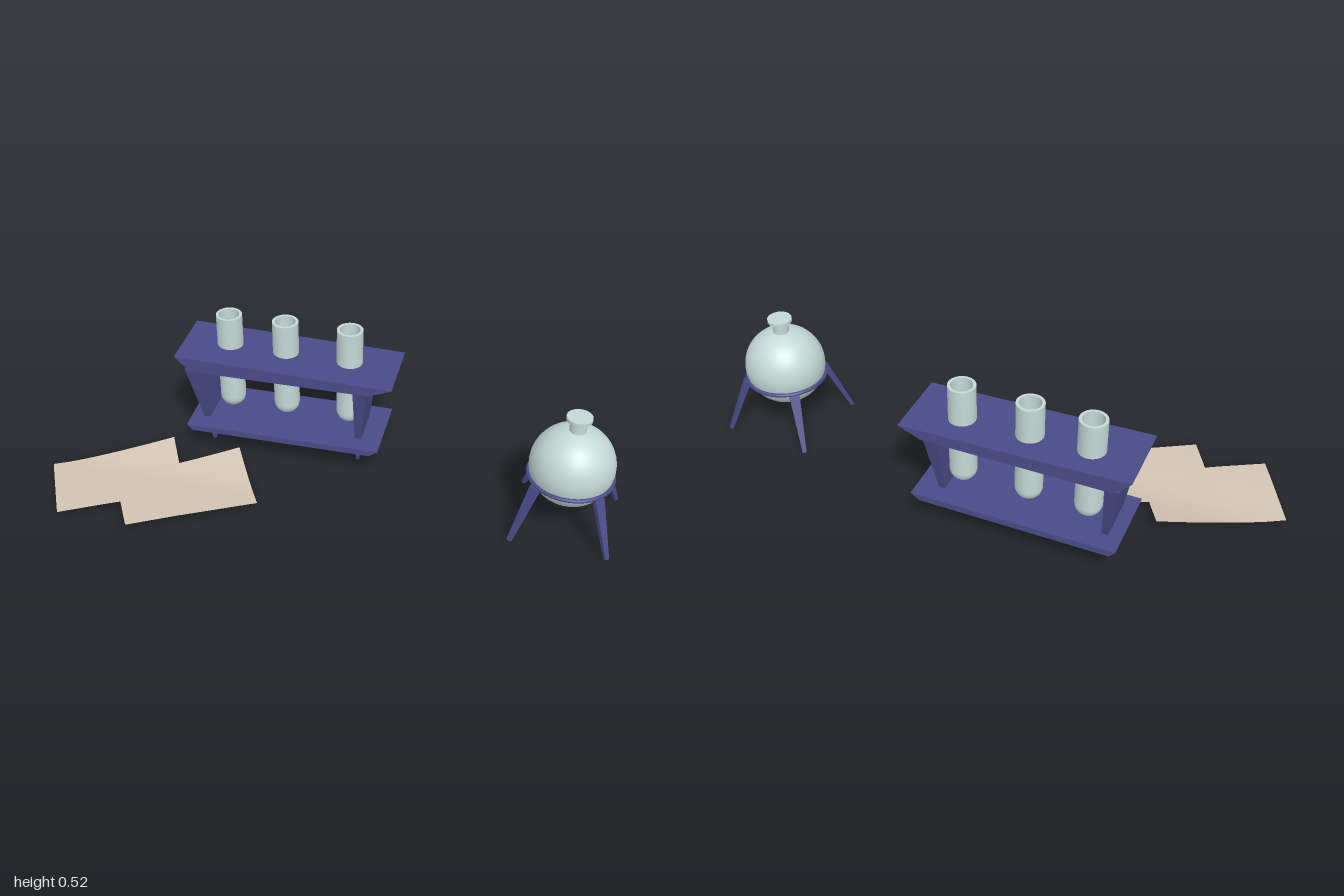
import * as THREE from 'three';

const blue = new THREE.MeshStandardMaterial({ color: 0x4a4a88 });
const glass = new THREE.MeshStandardMaterial({ color: 0xc4d8d6 });
const paper = new THREE.MeshStandardMaterial({ color: 0xd2c4b4, side: THREE.DoubleSide });

function add(parent, name, geometry, material) {
  const mesh = new THREE.Mesh(geometry, material);
  mesh.name = name;
  parent.add(mesh);
  return mesh;
}

// Box whose eight corners are placed by rule(right, top, front)
function shapedBox(rule) {
  const g = new THREE.BoxGeometry(1, 1, 1);
  const p = g.attributes.position;
  for (let i = 0; i < p.count; i++) {
    p.setXYZ(i, ...rule(p.getX(i) > 0, p.getY(i) > 0, p.getZ(i) > 0));
  }
  g.computeVertexNormals();
  return g;
}

function lathe(points, segments = 40) {
  return new THREE.LatheGeometry(points.map(([r, y]) => new THREE.Vector2(r, y)), segments);
}

// Lathe made of separate profile pieces keeps the edges between them sharp
function addLathes(parent, name, pieces, material) {
  const group = new THREE.Group();
  group.name = name;
  pieces.forEach((piece, i) => add(group, name + 'Surface' + (i + 1), lathe(piece), material));
  parent.add(group);
  return group;
}

// Arc profile running upward from angle a to angle b (degrees, -90 is the bottom)
function arc(radius, centreY, a, b, steps) {
  return Array.from({ length: steps + 1 }, (_, i) => {
    const t = THREE.MathUtils.degToRad(a + (b - a) * i / steps);
    return [Math.max(0, radius * Math.cos(t)), centreY + radius * Math.sin(t)];
  });
}

function buildRack() {
  const rack = new THREE.Group();
  rack.name = 'testTubeRack';

  // Upper plate: slightly sloping top, undercut ends
  add(rack, 'upperPlate', shapedBox((r, t, f) => [
    t ? (r ? 0.19 : -0.585) : (r ? 0.11 : -0.53),
    t ? (r ? 0.382 : 0.402) : 0.348,
    f ? -0.11 : -0.36]), blue);

  // Lower shelf with undercut ends
  add(rack, 'lowerShelf', shapedBox((r, t, f) => [
    t ? (r ? 0.15 : -0.555) : (r ? 0.12 : -0.535),
    t ? 0.122 : 0.1,
    f ? -0.1 : -0.372]), blue);

  // Wedge-shaped end supports
  const ends = {
    rightSupport: { top: [-0.548, -0.503], foot: [-0.489, -0.479] },
    leftSupport: { top: [0.055, 0.102], foot: [0.055, 0.066] },
  };
  for (const [name, e] of Object.entries(ends)) {
    add(rack, name, shapedBox((r, t, f) => [
      (t ? e.top : e.foot)[r ? 1 : 0],
      t ? 0.355 : 0.007,
      -0.235 + (f ? 1 : -1) * (t ? 0.125 : 0.045)]), blue);
  }

  // Round-bottomed open tubes
  for (const x of [-0.421, -0.217, 0.014]) {
    const tube = addLathes(rack, 'testTube', [
      [...arc(0.046, 0.186, -90, 0, 10), [0.046, 0.517]],
      [[0.046, 0.517], [0.036, 0.517]],
      [[0.036, 0.517], [0.036, 0.37]],
    ], glass);
    tube.position.set(x, 0, -0.249);
  }
  return rack;
}

function buildFlask() {
  const flask = new THREE.Group();
  flask.name = 'flaskOnStand';
  flask.position.set(0.815, 0, -0.042);

  const bulb = add(flask, 'bulb', new THREE.SphereGeometry(0.142, 48, 32), glass);
  bulb.position.y = 0.242;
  addLathes(flask, 'neck', [[[0.028, 0.375], [0.028, 0.422]]], glass);
  addLathes(flask, 'lip', [
    [[0.028, 0.422], [0.0425, 0.422]],
    [[0.0425, 0.422], [0.0425, 0.434]],
    [[0.0425, 0.434], [0, 0.434]],
  ], glass);

  const ring = add(flask, 'standRing', new THREE.TorusGeometry(0.141, 0.007, 10, 48), blue);
  ring.rotation.x = Math.PI / 2;
  ring.position.y = 0.2;

  // Splayed, tapering legs
  const leg = shapedBox((r, t, f) => [
    (t ? 0.143 : 0.227) + (r ? 1 : -1) * (t ? 0.009 : 0.006),
    (t ? 0.198 : 0.002) + (r ? 0.002 : -0.002),
    (f ? 1 : -1) * (t ? 0.018 : 0.007)]);
  for (let i = 0; i < 4; i++) {
    add(flask, 'standLeg', leg, blue).rotation.y = -THREE.MathUtils.degToRad(48 + 90 * i);
  }
  return flask;
}

// Curled sheet spanned by two edges from a back corner
function buildSheet(corner, along, across, tilt) {
  const g = new THREE.PlaneGeometry(1, 1, 14, 14);
  const p = g.attributes.position;
  for (let i = 0; i < p.count; i++) {
    const u = p.getX(i) + 0.5, v = 0.5 - p.getY(i);
    const x = corner[0] + along[0] * u + across[0] * v;
    const z = corner[1] + along[1] * u + across[1] * v;
    const lift = z < 0.08 ? 0.036 * ((0.08 - z) / 0.187) ** 1.5
      : 0.009 * Math.min(1, (z - 0.08) / 0.2);
    p.setXYZ(i, x, 0.013 + lift + tilt * (x + 0.62), z);
  }
  g.computeVertexNormals();
  return g;
}

export function createModel() {
  const model = new THREE.Group();
  model.name = 'laboratorySet';
  model.add(buildRack(), buildFlask());

  // Two overlapping sheets that cross each other slightly
  add(model, 'paperSheet', buildSheet([-0.998, 0.107], [0.386, -0.214], [0.129, 0.251], 0.002), paper);
  add(model, 'paperSheet', buildSheet([-0.757, 0.118], [0.396, -0.225], [0.139, 0.246], -0.008), paper);
  return model;
}
